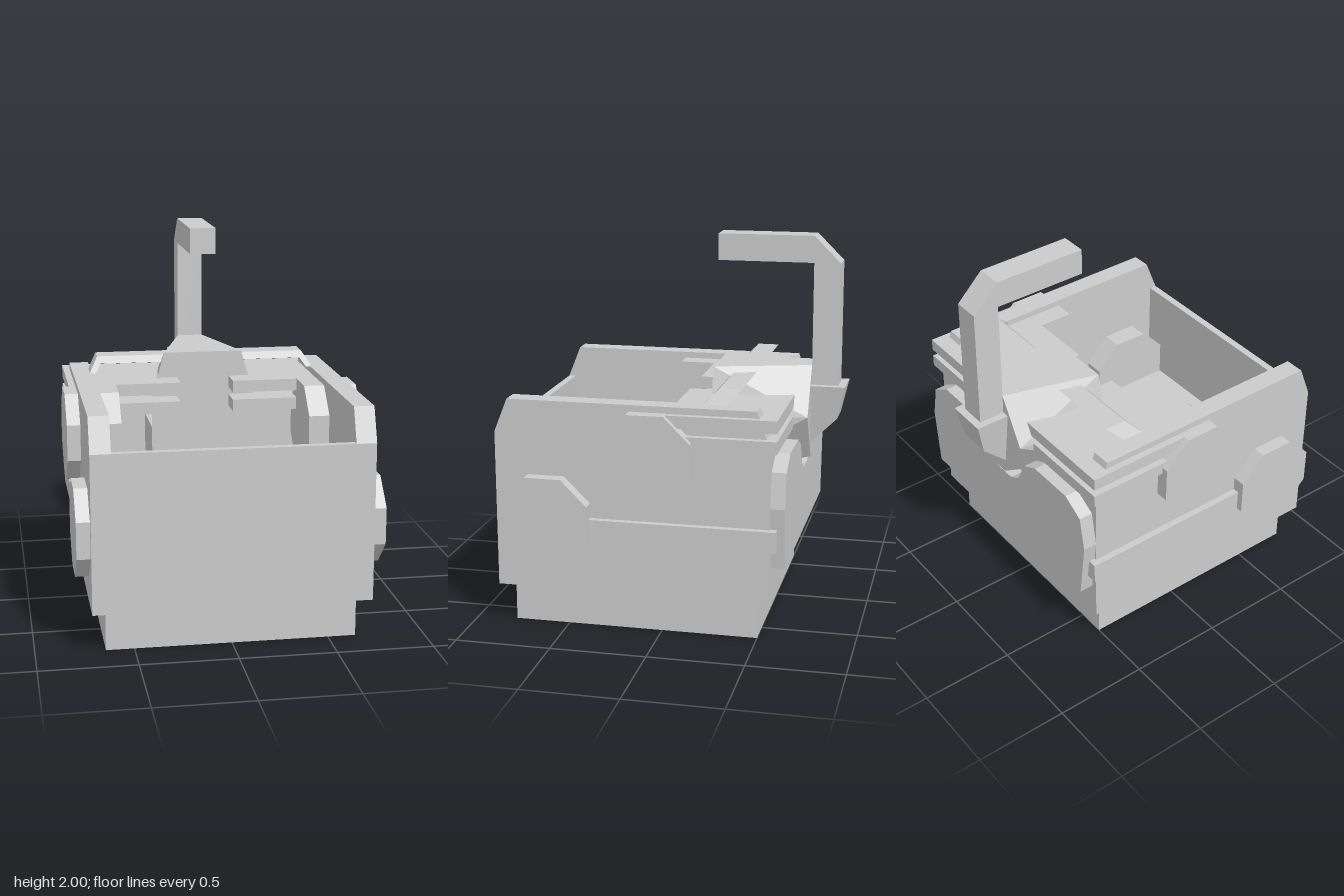
import * as THREE from 'three';
import { ConvexGeometry } from 'three/addons/geometries/ConvexGeometry.js';

const material = new THREE.MeshStandardMaterial({ color: 0xcccccc, flatShading: true });

export function createModel() {
  const model = new THREE.Group();

  const add = (name, geometry) => {
    const mesh = new THREE.Mesh(geometry, material);
    mesh.name = name;
    model.add(mesh);
    return mesh;
  };
  // Box given by its limits on each axis
  const block = (name, x0, x1, y0, y1, z0, z1) => {
    const g = new THREE.BoxGeometry(x1 - x0, y1 - y0, z1 - z0);
    g.translate((x0 + x1) / 2, (y0 + y1) / 2, (z0 + z1) / 2);
    return add(name, g);
  };
  const shapeOf = (points) => new THREE.Shape(points.map(([a, b]) => new THREE.Vector2(a, b)));
  const extrude = (points, depth) =>
    new THREE.ExtrudeGeometry(shapeOf(points), { depth, bevelEnabled: false });
  // Side profile of [z, y] points, extruded from x0 to x1
  const sideProfile = (points, x0, x1) =>
    extrude(points, x1 - x0).rotateY(-Math.PI / 2).translate(x1, 0, 0);

  // Base, solid lower body and low end walls
  block('base', -0.645, 0.645, 0, 0.22, -0.5, 0.79);
  block('lowerBody', -0.715, 0.715, 0.215, 0.5, -0.57, 0.86);
  block('frontWall', -0.715, 0.715, 0.5, 1.04, 0.82, 0.86);
  block('backWall', -0.715, 0.715, 0.5, 1.04, -0.57, -0.52);

  // Parts mirrored left and right
  const wall = [[0.86, 0.5], [0.86, 1.04], [0.79, 1.215], [-0.5, 1.215], [-0.57, 1.01], [-0.57, 0.5]];
  for (const s of [-1, 1]) {
    const side = s > 0 ? 'left' : 'right';
    const span = (a, b) => (s > 0 ? [a, b] : [-b, -a]);
    add(side + 'SideWall', sideProfile(wall, ...span(0.61, 0.715)));

    // Octagonal discs through the wall
    for (const [label, y, z] of [['Upper', 0.95, 0.055], ['Lower', 0.592, 0.59]]) {
      const g = new THREE.CylinderGeometry(0.25, 0.25, 0.285, 8);
      g.rotateY(Math.PI / 8).rotateZ(Math.PI / 2).translate(s * 0.6425, y, z);
      add(side + label + 'Disc', g);
    }

    // Stacked deck plates and the low side band
    block(side + 'TopDeckPlate', ...span(0.145, 0.75), 1.115, 1.18, -0.605, -0.04);
    block(side + 'LowerDeckPlate', ...span(0.145, 0.75), 1.01, 1.075, -0.605, -0.04);
    block(side + 'LowBand', ...span(0.575, 0.75), 0.5, 0.61, -0.605, 0.4);

    // Arm rail: bent bar leaning forward as it goes down
    const bar = [[0.1, 1.29], [0.1, 1.255], [0.56, 1.255], [0.59, 1.21], [0.625, 1.21], [0.575, 1.29]];
    const rail = extrude(bar.map(([x, y]) => [s * x, y]), 0.115);
    const p = rail.attributes.position;
    for (let i = 0; i < p.count; i++) p.setZ(i, p.getZ(i) - 0.4 + (1.29 - p.getY(i)));
    rail.computeVertexNormals();
    add(side + 'ArmRail', rail);
  }

  // Central column: flared head over an upright post
  const head = [];
  for (const s of [-1, 1]) {
    for (const [x, y, z] of [
      [0.215, 1.32, -0.18], [0.07, 1.32, -0.68],
      [0.285, 1.07, -0.18], [0.215, 1.07, -0.68],
      [0.285, 0.8, -0.18], [0.06, 0.82, -0.68], [0.06, 0.8, -0.6],
    ]) head.push(new THREE.Vector3(s * x, y, z));
  }
  add('columnHead', new ConvexGeometry(head));
  block('columnPost', -0.285, 0.285, 0.49, 0.9, -0.53, -0.18);

  // Back plate with two rounded lobes and a centre notch
  const half = [[0.68, 0.4], [0.715, 0.72], [0.68, 0.9], [0.56, 0.97], [0.29, 0.97], [0.19, 0.92], [0.13, 0.8], [0.06, 0.76]];
  const outline = [...half, ...half.slice().reverse().map(([x, y]) => [-x, y])];
  add('backPlate', extrude(outline, 0.085).translate(0, 0, -0.645));

  // Hook and its tapered mount
  const hook = [[-0.175, 2], [-0.175, 1.86], [-0.68, 1.86], [-0.68, 1.2], [-0.82, 1.2], [-0.82, 1.86], [-0.68, 2]];
  add('hook', sideProfile(hook, -0.07, 0.07));
  const mount = sideProfile([[-0.66, 1.215], [-0.66, 0.9], [-0.68, 0.9], [-0.82, 1.04], [-0.86, 1.215]], -0.11, 0.11);
  const m = mount.attributes.position;
  for (let i = 0; i < m.count; i++) {
    m.setX(i, m.getX(i) * (1 - 1.1 * (1.215 - m.getY(i))));
  }
  mount.computeVertexNormals();
  add('hookMount', mount);

  return model;
}
